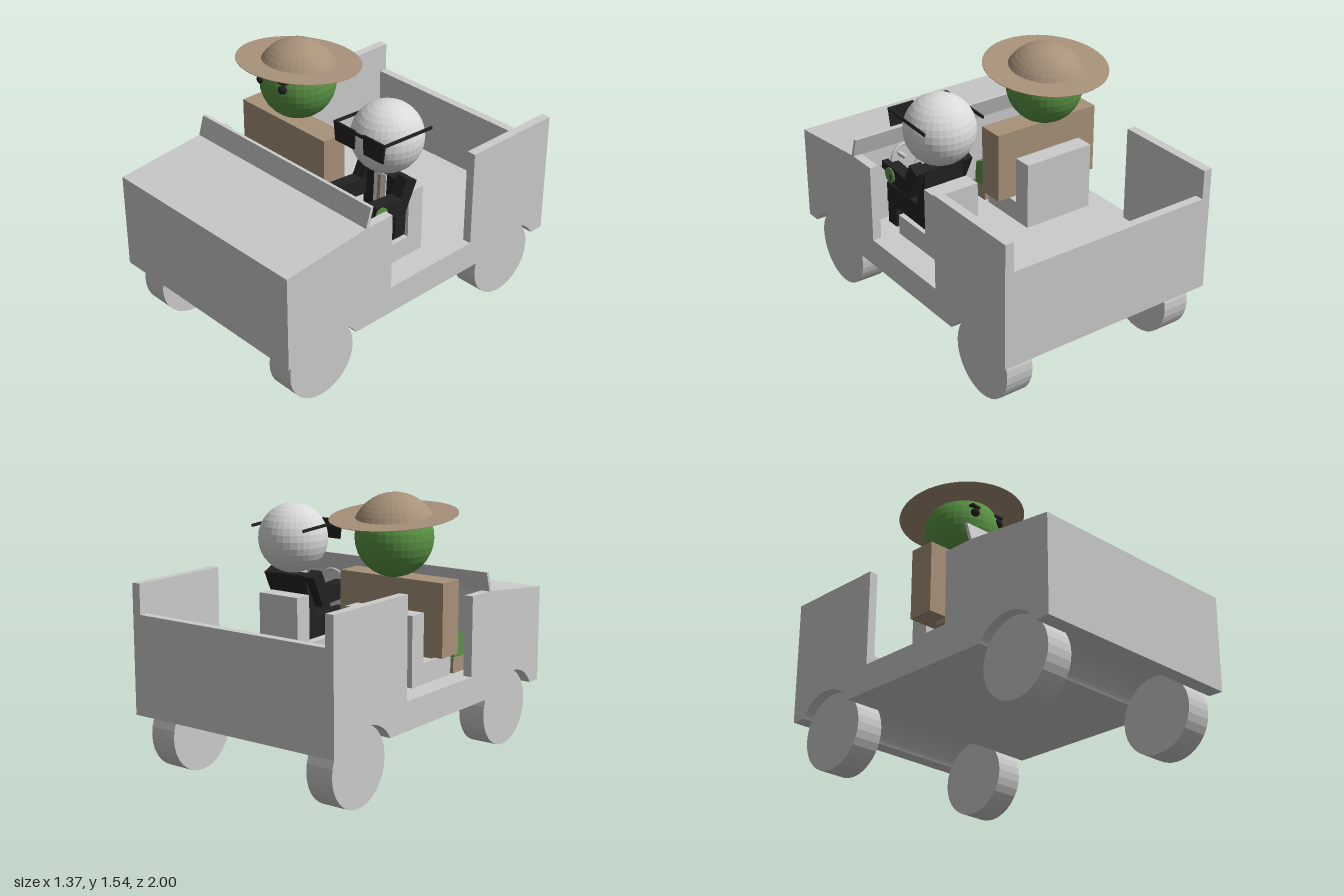
import * as THREE from 'three';

const mat = (name, color, extra = {}) =>
  Object.assign(new THREE.MeshStandardMaterial({ color, flatShading: true, ...extra }), { name });

export function createModel() {
  const model = new THREE.Group();
  const grey = mat('bodyGrey', 0xcccccc);
  const white = mat('paleWhite', 0xdadada);
  const green = mat('skinGreen', 0x5b9545);
  const tan = mat('tan', 0xa8927a, { side: THREE.DoubleSide });
  const black = mat('black', 0x222222);

  const add = (parent, name, geo, material, x = 0, y = 0, z = 0) => {
    const mesh = new THREE.Mesh(geo, material);
    mesh.name = name;
    mesh.position.set(x, y, z);
    parent.add(mesh);
    return mesh;
  };
  const group = (name) => {
    const g = new THREE.Group();
    g.name = name;
    model.add(g);
    return g;
  };
  // box given by its limits on each axis
  const box = (parent, name, material, x0, x1, y0, y1, z0, z1) =>
    add(parent, name, new THREE.BoxGeometry(x1 - x0, y1 - y0, z1 - z0), material,
      (x0 + x1) / 2, (y0 + y1) / 2, (z0 + z1) / 2);
  // side profile in (z, y), extruded across the width
  const across = (shape, width) =>
    new THREE.ExtrudeGeometry(shape, { depth: width, bevelEnabled: false, curveSegments: 16 })
      .translate(0, 0, -width / 2).rotateY(-Math.PI / 2);
  // box-shaped limb between two (y, z) points
  const limb = (parent, name, material, x, a, b, width, thick) => {
    const dy = b[0] - a[0], dz = b[1] - a[1];
    const m = add(parent, name, new THREE.BoxGeometry(width, thick, Math.hypot(dy, dz)), material,
      x, (a[0] + b[0]) / 2, (a[1] + b[1]) / 2);
    m.rotation.x = -Math.atan2(dy, dz);
    return m;
  };

  // ---- Car: floor, wheel arches and bonnet in one profile
  const car = group('car');
  const axleY = 0.228, axleZ = 0.715, archR = 0.229, bottom = 0.345;
  const a = Math.asin((bottom - axleY) / archR);
  const hull = new THREE.Shape();
  hull.moveTo(-1, bottom);
  for (const z of [-axleZ, axleZ]) {
    hull.lineTo(z - archR * Math.cos(a), bottom);
    hull.absarc(z, axleY, archR, Math.PI - a, a, true);
  }
  [[1, bottom], [1, 0.912], [0.455, 0.97], [0.44, 0.97], [0.44, 0.51], [-1, 0.51]]
    .forEach(([z, y]) => hull.lineTo(z, y));
  add(car, 'hull', across(hull, 1.366), grey);

  const screen = new THREE.Shape(
    [[0.435, 0.968], [0.455, 0.968], [0.42, 1.083], [0.4, 1.083]].map(([z, y]) => new THREE.Vector2(z, y)));
  add(car, 'windscreen', across(screen, 1.366), grey);

  for (const s of [-1, 1]) {
    const [x0, x1] = s > 0 ? [0.63, 0.683] : [-0.683, -0.63];
    box(car, 'frontSideWall', grey, x0, x1, 0.51, 0.97, 0.26, 0.44);
    box(car, 'rearSideWall', grey, x0, x1, 0.51, 1.083, -1, -0.37);
    for (const z of [-axleZ, axleZ]) {
      add(car, 'wheel', new THREE.CylinderGeometry(0.226, 0.226, 0.165, 32).rotateZ(Math.PI / 2),
        grey, s * 0.543, axleY, z);
    }
  }
  box(car, 'tailgate', grey, -0.63, 0.63, 0.51, 0.912, -1, -0.95);

  for (const [x0, x1] of [[-0.555, -0.105], [0.24, 0.52]]) {
    box(car, 'seatBack', grey, x0, x1, 0.51, 0.912, -0.14, -0.03);
    box(car, 'seatCushion', grey, x0, x1, 0.51, 0.63, -0.03, 0.24);
  }
  add(car, 'steeringWheel', new THREE.TorusGeometry(0.09, 0.009, 8, 28), grey, 0.38, 0.9, 0.375);
  box(car, 'steeringColumn', grey, 0.37, 0.39, 0.89, 0.91, 0.37, 0.44);

  // ---- Passenger: broad tan coat, green head and wide hat
  const passenger = group('passenger');
  const px = -0.328;
  box(passenger, 'coat', tan, px - 0.345, px + 0.345, 0.67, 1.085, -0.025, 0.13);
  for (const x of [-0.455, -0.2]) {
    limb(passenger, 'trouserLeg', tan, x, [0.705, 0.05], [0.71, 0.27], 0.21, 0.13);
    limb(passenger, 'knee', green, x, [0.71, 0.26], [0.68, 0.33], 0.205, 0.125);
    limb(passenger, 'shin', green, x, [0.72, 0.315], [0.58, 0.325], 0.2, 0.09);
    box(passenger, 'boot', tan, x - 0.1, x + 0.1, 0.51, 0.6, 0.27, 0.395);
  }
  add(passenger, 'head', new THREE.SphereGeometry(0.219, 32, 16), green, px, 1.3, 0.008);
  for (const s of [-1, 1]) {
    add(passenger, 'eye', new THREE.SphereGeometry(0.026, 16, 10), black, px + s * 0.09, 1.337, 0.203);
    const brow = add(passenger, 'eyebrow', new THREE.BoxGeometry(0.06, 0.012, 0.03), black,
      px + s * 0.088, 1.378, 0.198);
    brow.rotation.z = s * 0.06;
  }
  const hat = new THREE.Group();
  hat.name = 'hat';
  hat.position.set(px, 1.42, 0);
  hat.rotation.x = -0.109;
  passenger.add(hat);
  // crown is a spherical cap sitting on the brim
  const capR = 0.243;
  add(hat, 'crown', new THREE.SphereGeometry(capR, 32, 8, 0, Math.PI * 2, 0, Math.acos(0.117 / capR)),
    tan, 0, -0.117, 0);
  add(hat, 'brim', new THREE.CylinderGeometry(0.357, 0.357, 0.003, 48), tan);

  // ---- Driver: black suit, pale head and dark glasses
  const driver = group('driver');
  const dx = 0.385;
  limb(driver, 'jacket', black, dx, [0.65, 0.025], [1.02, 0.01], 0.25, 0.08);
  limb(driver, 'shirt', white, dx, [0.7, 0.066], [1.02, 0.053], 0.09, 0.008);
  limb(driver, 'tie', tan, dx, [0.76, 0.07], [1.01, 0.06], 0.025, 0.008);
  for (const s of [-1, 1]) {
    const ax = dx + s * 0.147;
    limb(driver, 'upperArm', black, ax, [1.03, 0.0], [0.85, 0.085], 0.075, 0.08);
    limb(driver, 'forearm', black, ax, [0.89, 0.05], [0.91, 0.27], 0.075, 0.1);
    limb(driver, 'hand', black, ax, [0.91, 0.26], [0.92, 0.35], 0.04, 0.045);
    limb(driver, 'thigh', black, dx + s * 0.07, [0.7, 0.0], [0.71, 0.39], 0.088, 0.125);
    box(driver, 'shin', black, dx + s * 0.07 - 0.037, dx + s * 0.07 + 0.037, 0.51, 0.7, 0.31, 0.395);
  }
  // wrist watch on the outer arm
  add(driver, 'watchFace', new THREE.CylinderGeometry(0.045, 0.045, 0.008, 24).rotateZ(Math.PI / 2),
    green, 0.573, 0.905, 0.232);
  box(driver, 'watchHand', black, 0.575, 0.579, 0.875, 0.907, 0.217, 0.223);
  box(driver, 'watchHand', black, 0.575, 0.579, 0.899, 0.907, 0.208, 0.232);

  add(driver, 'head', new THREE.SphereGeometry(0.203, 32, 16), white, dx, 1.228, 0.007);

  const lens = new THREE.Shape(
    [[0.03, 0], [0.193, 0], [0.18, -0.115], [0.037, -0.115]].map(([x, y]) => new THREE.Vector2(x, y)).reverse());
  const lensGeo = new THREE.ExtrudeGeometry(lens, { depth: 0.009, bevelEnabled: false });
  add(driver, 'lens', lensGeo, black, dx, 1.325, 0.213);
  add(driver, 'lens', lensGeo.clone().rotateY(Math.PI).translate(0, 0, 0.009), black, dx, 1.325, 0.213);
  box(driver, 'glassesBridge', black, dx - 0.04, dx + 0.04, 1.3, 1.316, 0.213, 0.222);
  for (const s of [-1, 1])
    limb(driver, 'glassesTemple', black, dx + s * 0.188, [1.298, -0.135], [1.317, 0.22], 0.01, 0.016);

  return model;
}
